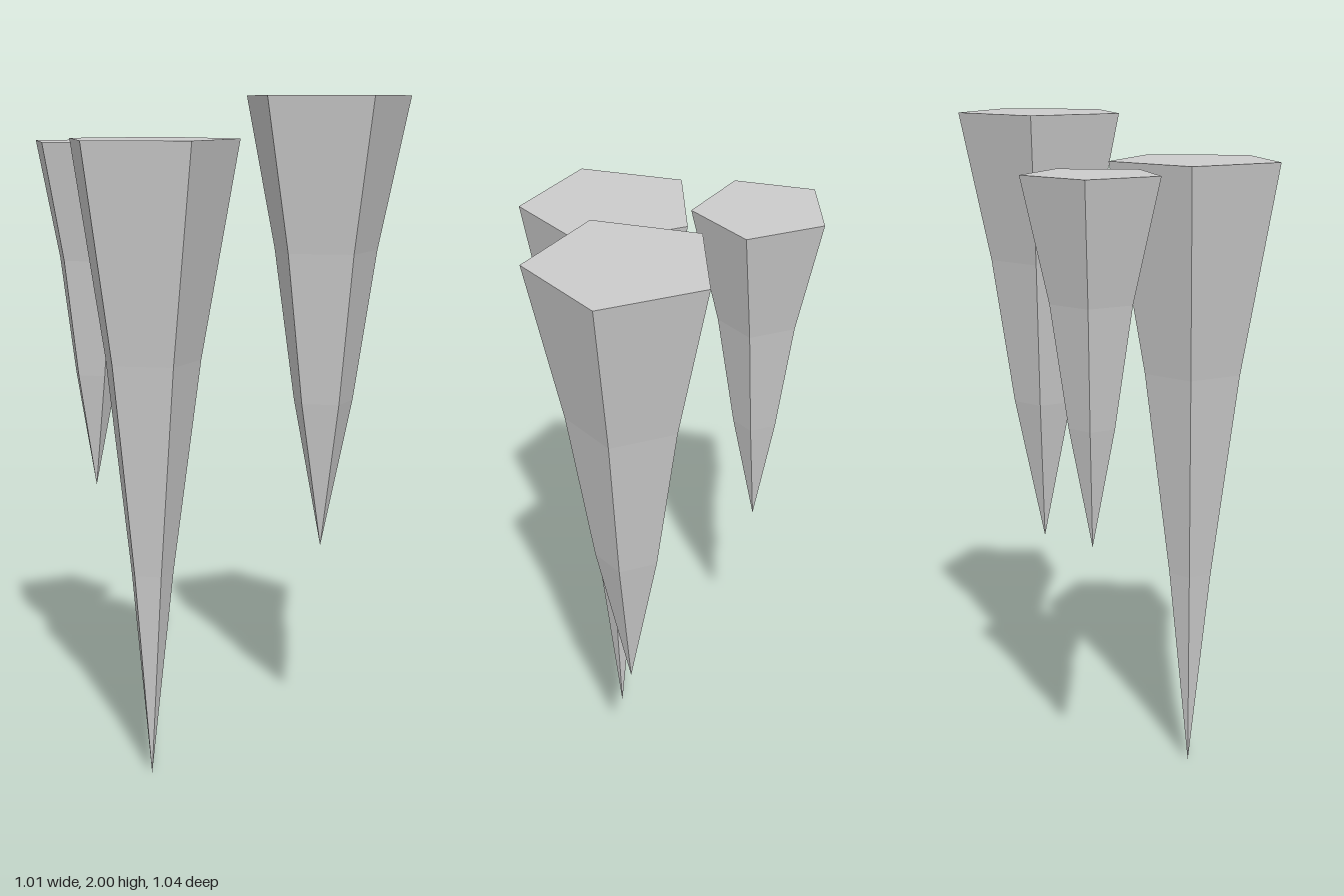
import * as THREE from 'three';

// Five-sided hanging spike: tip, two rings at thirds of the height, flat cap
function spike(name, { x, z, tip, top, radius, lower, upper }, material) {
  const h = top - tip;
  const profile = [
    [0, 0],
    [radius * lower, h / 3],
    [radius * upper, (h * 2) / 3],
    [radius, h],
    [0, h],
  ].map(([r, y]) => new THREE.Vector2(r, y));
  const mesh = new THREE.Mesh(new THREE.LatheGeometry(profile, 5), material);
  mesh.name = name;
  mesh.position.set(x, tip, z);
  return mesh;
}

export function createModel() {
  const group = new THREE.Group();
  group.name = 'stalactites';
  const stone = new THREE.MeshStandardMaterial({ color: 0xcccccc, flatShading: true });

  group.add(
    spike('longStalactite', { x: 0.092, z: 0.259, tip: 0, top: 1.88, radius: 0.26, lower: 0.255, upper: 0.57 }, stone),
    spike('backStalactite', { x: 0.255, z: -0.311, tip: 0.63, top: 2, radius: 0.26, lower: 0.365, upper: 0.63 }, stone),
    spike('smallStalactite', { x: -0.312, z: 0.107, tip: 0.8, top: 1.865, radius: 0.203, lower: 0.34, upper: 0.6 }, stone),
  );
  return group;
}
